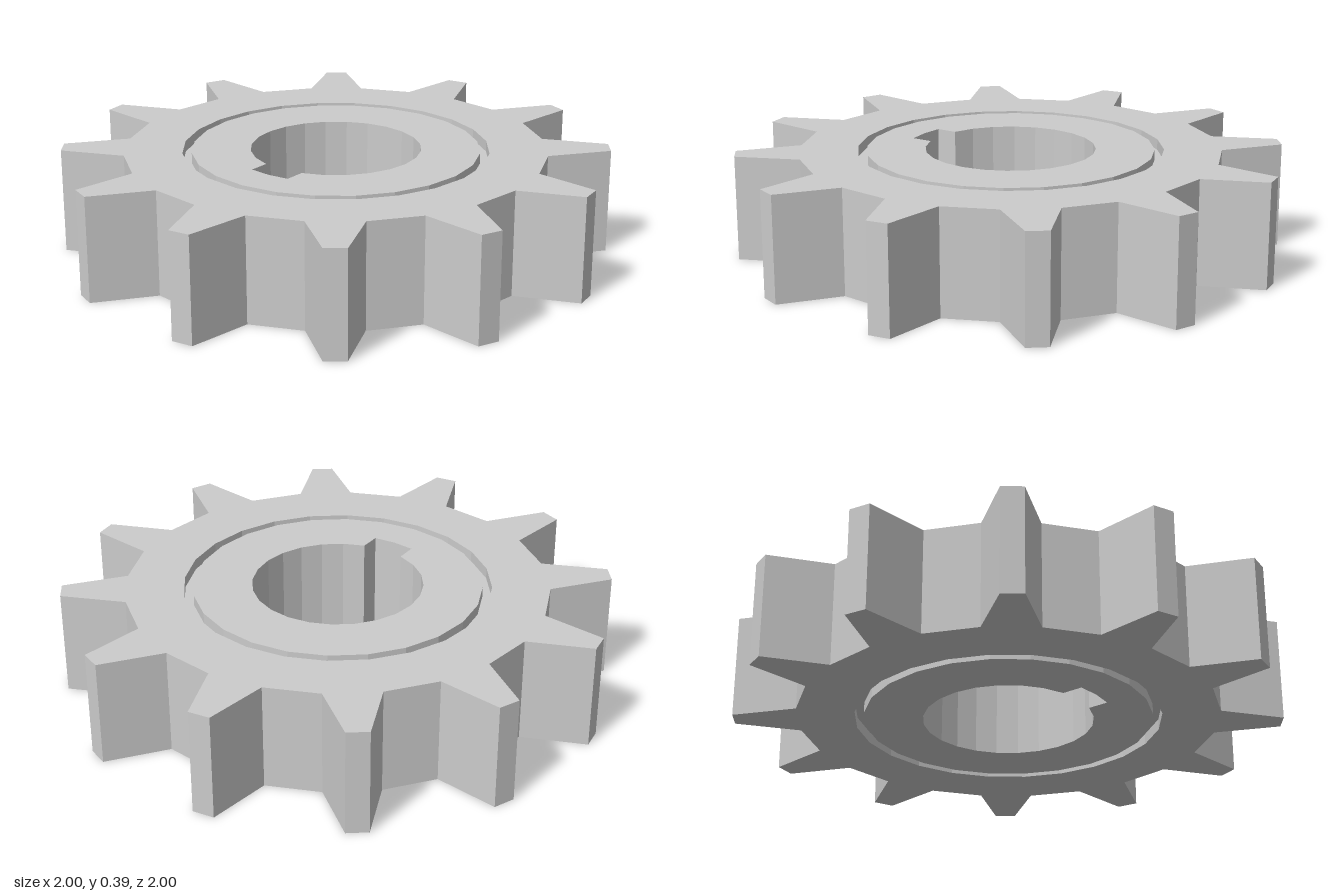
import * as THREE from 'three';

const HEIGHT = 0.39, GROOVE_DEPTH = 0.04;
const GROOVE_OUT = 0.562, GROOVE_IN = 0.528, BORE = 0.313;
const SIDES = 24, TEETH = 12;
const RAD = Math.PI / 180;

const polar = (r, deg) => new THREE.Vector2(r * Math.cos(deg * RAD), r * Math.sin(deg * RAD));
const polygon = (r) => Array.from({ length: SIDES }, (_, i) => polar(r, i * 360 / SIDES));

export function createModel() {
  const group = new THREE.Group();
  const material = new THREE.MeshStandardMaterial({ color: 0xcccccc, flatShading: true });

  const add = (name, geometry) => {
    const mesh = new THREE.Mesh(geometry, material);
    mesh.name = name;
    group.add(mesh);
    return mesh;
  };

  // Stand an outline with one hole upright as a plate of full height
  const plate = (outline, hole) => {
    const shape = new THREE.Shape(outline);
    shape.holes.push(new THREE.Path(hole));
    return new THREE.ExtrudeGeometry(shape, { depth: HEIGHT, bevelEnabled: false }).rotateX(-Math.PI / 2);
  };

  // Toothed rim: each tooth spans 15 degrees, followed by a flat root of 15 degrees
  const teeth = [];
  for (let i = 0; i < TEETH; i++) {
    const a = i * 360 / TEETH;
    teeth.push(polar(0.773, a), polar(1.004, a + 5.2), polar(1.004, a + 9.8), polar(0.773, a + 15));
  }
  add('toothedRim', plate(teeth, polygon(GROOVE_OUT)));

  // Hub: round bore with a keyway towards the front
  const bore = [];
  for (let a = -75; a <= 255; a += 15) bore.push(polar(BORE, a));
  bore.push(new THREE.Vector2(-0.081, -0.38), new THREE.Vector2(0, -0.388), new THREE.Vector2(0.081, -0.38));
  add('hub', plate(polygon(GROOVE_IN), bore));

  // Floors of the ring grooves on both faces
  for (const top of [true, false]) {
    const floor = add(top ? 'topGrooveFloor' : 'bottomGrooveFloor',
      new THREE.RingGeometry(GROOVE_IN, GROOVE_OUT, SIDES).rotateX(top ? -Math.PI / 2 : Math.PI / 2));
    floor.position.y = top ? HEIGHT - GROOVE_DEPTH : GROOVE_DEPTH;
  }

  return group;
}
